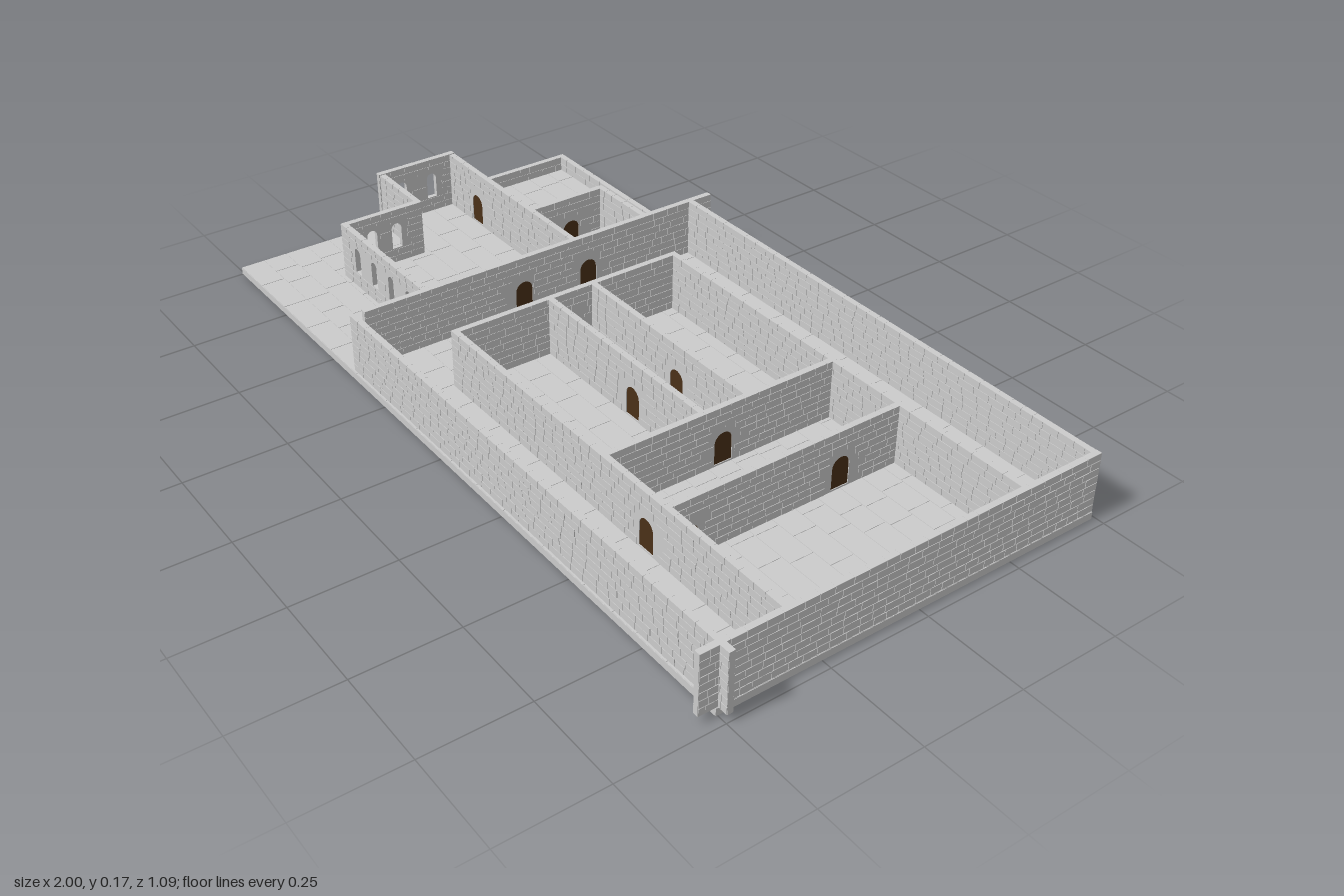
import * as THREE from 'three';
import { mergeGeometries } from 'three/addons/utils/BufferGeometryUtils.js';

const stoneMat = new THREE.MeshStandardMaterial({ color: 0xcccccc, flatShading: true });
const woodMat = new THREE.MeshStandardMaterial({ color: 0x4a3018, flatShading: true });
const BASE = 0.02, TOP = 0.17, THICK = 0.016;

let seed = 7;
const rnd = () => (seed = (seed * 16807) % 2147483647) / 2147483647;

function box(w, h, d, x, y, z) {
  return new THREE.BoxGeometry(w, h, d).translate(x, y, z);
}

function add(group, name, geometry, material = stoneMat) {
  const mesh = new THREE.Mesh(geometry, material);
  mesh.name = name;
  group.add(mesh);
  return mesh;
}

// Round-topped outline for doors and windows
function arch(Type, u, y, w, h) {
  const s = new Type();
  s.moveTo(u - w / 2, y);
  s.lineTo(u + w / 2, y);
  s.lineTo(u + w / 2, y + h - w / 2);
  s.absarc(u, y + h - w / 2, w / 2, 0, Math.PI, false);
  s.lineTo(u - w / 2, y);
  return s;
}

const door = (u) => ({ u, y: BASE + 0.004, w: 0.048, h: 0.078, leaf: true });
const slot = (u) => ({ u, y: 0.06, w: 0.028, h: 0.07 });

// Masonry wall running along 'x' or 'z' from a to b, at offset c on the other axis
function wall(name, axis, c, a, b, openings = [], top = TOP) {
  const g = new THREE.Group();
  g.name = name;

  // core with openings
  const s = new THREE.Shape();
  s.moveTo(a, BASE);
  s.lineTo(b, BASE);
  s.lineTo(b, top - 0.001);
  s.lineTo(a, top - 0.001);
  s.closePath();
  for (const o of openings) s.holes.push(arch(THREE.Path, o.u, o.y, o.w, o.h));
  const depth = THICK - 0.003;
  add(g, 'wallCore', new THREE.ExtrudeGeometry(s, { depth, bevelEnabled: false, curveSegments: 8 })
    .translate(0, 0, -depth / 2));

  // coursed stones standing slightly proud of the core
  const stones = [];
  const courses = Math.max(2, Math.round((top - BASE) / 0.019));
  const h = (top - BASE) / courses;
  for (let i = 0; i < courses; i++) {
    const y = BASE + i * h;
    let u = a;
    while (u < b - 0.002) {
      let end = u + 0.028 + rnd() * 0.022;
      if (b - end < 0.015) end = b;
      const blocked = openings.some((o) => end > o.u - o.w / 2 && u < o.u + o.w / 2 &&
        y + h > o.y && y < o.y + o.h);
      if (!blocked) {
        stones.push(box(end - u - 0.0015, h - 0.0015, THICK - rnd() * 0.001,
          (u + end) / 2, y + h / 2, 0));
      }
      u = end;
    }
  }
  add(g, 'wallStones', mergeGeometries(stones));

  // wooden leaves in the doorways
  for (const o of openings.filter((p) => p.leaf)) {
    add(g, 'doorLeaf', new THREE.ExtrudeGeometry(arch(THREE.Shape, o.u, o.y, o.w, o.h),
      { depth: 0.009, bevelEnabled: false, curveSegments: 8 }).translate(0, 0, -0.0045), woodMat);
  }

  if (axis === 'x') {
    g.position.z = c;
  } else {
    g.rotation.y = -Math.PI / 2;
    g.position.x = c;
  }
  return g;
}

// Flagstone slab
function floor() {
  const g = new THREE.Group();
  g.name = 'floor';
  const x0 = -1, x1 = 0.975, z0 = -0.49, z1 = 0.505, rows = 16;
  add(g, 'floorCore', box(x1 - x0, 0.018, z1 - z0, (x0 + x1) / 2, 0.01, (z0 + z1) / 2));
  const flags = [], d = (z1 - z0) / rows;
  for (let i = 0; i < rows; i++) {
    let x = x0;
    while (x < x1 - 0.002) {
      let end = x + 0.07 + rnd() * 0.08;
      if (x1 - end < 0.05) end = x1;
      flags.push(box(end - x - 0.002, 0.02, d - 0.002, (x + end) / 2, 0.01, z0 + (i + 0.5) * d));
      x = end;
    }
  }
  add(g, 'flagstones', mergeGeometries(flags));
  return g;
}

export function createModel() {
  seed = 7;
  const model = new THREE.Group();
  model.name = 'walledCompound';
  model.add(
    floor(),

    // enclosure of the main building
    wall('frontOuterWall', 'x', 0.492, -0.4, 1.0),
    wall('backOuterWall', 'x', -0.481, -0.4, 0.972),
    wall('leftOuterWall', 'z', 0.966, -0.49, 0.545),
    wall('rightMainWall', 'z', -0.4, -0.545, 0.465, [door(-0.16), door(0.03)]),

    // inner rooms
    wall('innerBackWall', 'x', -0.28, -0.208, 0.96, [door(0.54)]),
    wall('innerFrontWall', 'x', 0.337, -0.208, 0.96, [door(0.54)]),
    wall('innerRightWall', 'z', -0.2, -0.285, 0.343, [door(0.03)]),
    wall('hallBackWall', 'x', -0.04, -0.2, 0.385, [door(0.14)]),
    wall('hallFrontWall', 'x', 0.082, -0.2, 0.385, [door(0.14)]),
    wall('hallEndWall', 'z', 0.386, -0.285, 0.343, [door(0.03)]),
    wall('farRoomWall', 'z', 0.6, -0.285, 0.343, [door(-0.115), door(0.285)]),

    // side wing
    wall('wingBackWall', 'x', -0.122, -1, -0.4, [door(-0.85)]),
    wall('wingEndWall', 'z', -0.992, -0.13, 0.1, [slot(-0.055), slot(0.035)], 0.172),
    wall('wingStepWall', 'x', 0.09, -1, -0.795),
    wall('wingReturnWall', 'z', -0.8, 0.085, 0.305, [slot(0.16), slot(0.23)]),
    wall('wingFrontWall', 'x', 0.3, -0.808, -0.4, [-0.73, -0.645, -0.56, -0.475].map(slot)),

    // small corner room and low garden walls
    wall('cornerRoomSideWall', 'z', -0.594, -0.343, -0.122, [door(-0.24)]),
    wall('cornerRoomBackWall', 'x', -0.338, -0.6, -0.4),
    wall('gardenBackWall', 'x', -0.481, -1, -0.4, [], 0.06),
    wall('gardenEndWall', 'z', -0.992, -0.489, -0.125, [], 0.06),
  );
  return model;
}
